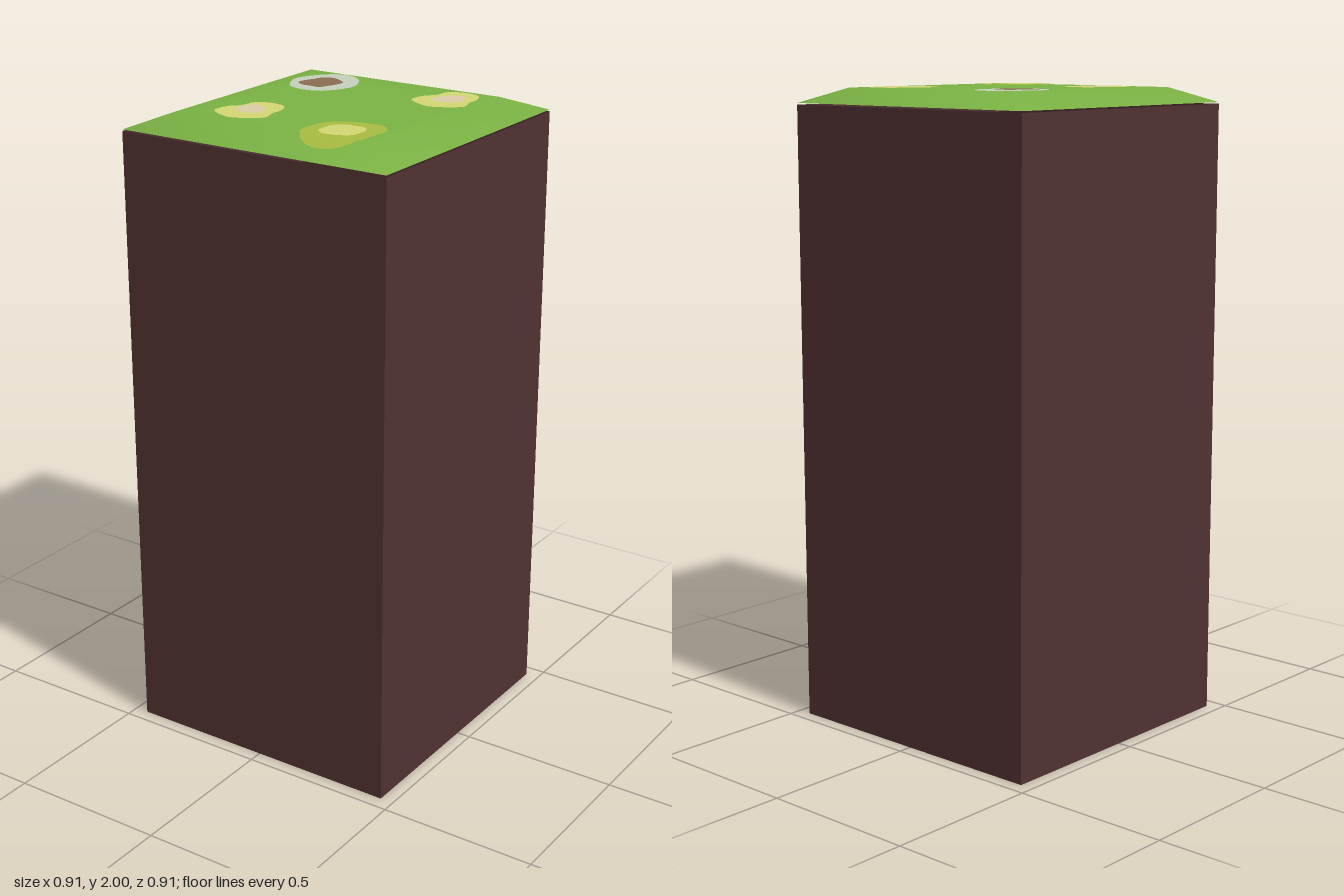
import * as THREE from 'three';

const HALF = 0.457;   // half width of the block
const FLAT = 0.345;   // half width of the flat top
const RIM = 1.951;    // height of the cap's lower edge
const TOP = 1.997;    // height of the flat top

const mat = (name, color, side = THREE.FrontSide) => {
  const m = new THREE.MeshStandardMaterial({ color, side });
  m.name = name;
  return m;
};

// Height of the bevelled cap at a point
function capHeight(x, z) {
  const d = Math.max(Math.abs(x), Math.abs(z), FLAT);
  return TOP - (TOP - RIM) * (d - FLAT) / (HALF - FLAT);
}

// Thin irregular patch draped over the cap; radii (in hundredths) run
// counterclockwise from +x as seen from above
function patch(name, material, cx, cz, radii, layer, mirror = false) {
  const pts = radii.map((r, i) => {
    const a = i / radii.length * Math.PI * 2;
    return new THREE.Vector3(Math.cos(a) * r / 100, 0, -Math.sin(a) * r / 100);
  });
  if (mirror) pts.forEach(p => { p.x *= -1; });
  if (mirror) pts.reverse();
  const outline = new THREE.CatmullRomCurve3(pts, true);
  const segments = 60, rings = 8;
  const geo = new THREE.RingGeometry(0.001, 1, segments, rings);
  const pos = geo.attributes.position;
  for (let j = 0; j <= rings; j++) {
    for (let i = 0; i <= segments; i++) {
      const p = outline.getPoint((i % segments) / segments).multiplyScalar(Math.max(j / rings, 0.001));
      const x = cx + p.x, z = cz + p.z;
      pos.setXYZ(j * (segments + 1) + i, x, capHeight(x, z) + 0.0015 * layer, z);
    }
  }
  geo.computeVertexNormals();
  const mesh = new THREE.Mesh(geo, material);
  mesh.name = name;
  return mesh;
}

export function createModel() {
  const model = new THREE.Group();
  model.name = 'grassTopPillar';

  const earth = mat('dark earth', 0x503131, THREE.DoubleSide);
  const grass = mat('grass green', 0x7ab244, THREE.DoubleSide);
  const grey = mat('pale grey', 0xc4d0ba);
  const brown = mat('brown', 0x8b6b50);
  const yellow = mat('pale yellow', 0xd2d672);
  const pink = mat('dusty beige', 0xdacba6);
  const olive = mat('olive', 0xa7ba40);

  // Four pillar walls, open at the bottom
  const wallHeight = 1.946;
  for (const [i, side] of ['front', 'left', 'back', 'right'].entries()) {
    const geo = new THREE.PlaneGeometry(HALF * 2, wallHeight);
    geo.translate(0, wallHeight / 2, HALF).rotateY(i * Math.PI / 2);
    const wall = new THREE.Mesh(geo, earth);
    wall.name = side + 'Wall';
    model.add(wall);
  }

  // Square bevelled grass cap with softened shading
  const profile = [[HALF, RIM], [FLAT, TOP], [FLAT - 0.08, TOP], [0, TOP]]
    .map(([r, y]) => new THREE.Vector2(r * Math.SQRT2, y));
  const cap = new THREE.Mesh(new THREE.LatheGeometry(profile, 4, Math.PI / 4), grass);
  cap.name = 'grassCap';
  model.add(cap);

  // Flower patches with their centres
  const petals = [7.4, 8.5, 10.5, 10.8, 10.3, 7.2, 9, 10.8, 10.3, 10.5, 9.8, 10];
  const core = [4.7, 4.9, 5.4, 4.7, 4.2, 4, 4.4, 5.4, 5.2, 4.7, 5, 4.7];
  model.add(
    patch('greyFlower', grey, -0.2, -0.21,
      [10.8, 10.5, 11.5, 12.7, 11.5, 10.5, 10.8, 10.5, 11.5, 11.8, 11.8, 10.8], 1),
    patch('greyFlowerCentre', brown, -0.207, -0.2,
      [5.9, 6.9, 6.4, 7.1, 6.6, 5.1, 5.6, 6.9, 6.6, 5.9, 6.9, 5.6], 2),
    patch('backYellowFlower', yellow, 0.239, -0.22, petals, 1),
    patch('backYellowFlowerCentre', pink, 0.241, -0.227, core, 2),
    patch('frontYellowFlower', yellow, -0.168, 0.214, petals, 1),
    patch('frontYellowFlowerCentre', pink, -0.173, 0.205, core, 2, true),
    patch('oliveFlower', olive, 0.195, 0.278,
      [10, 12, 13.3, 11.8, 11.5, 11.8, 11.3, 12, 12.3, 12.3, 12, 11.3], 1),
    patch('oliveFlowerCentre', yellow, 0.188, 0.27,
      [6.1, 6.9, 6.9, 6.1, 6.4, 6.4, 5.9, 6.6, 6.6, 6.1, 6.1, 6.6], 2),
  );
  return model;
}
